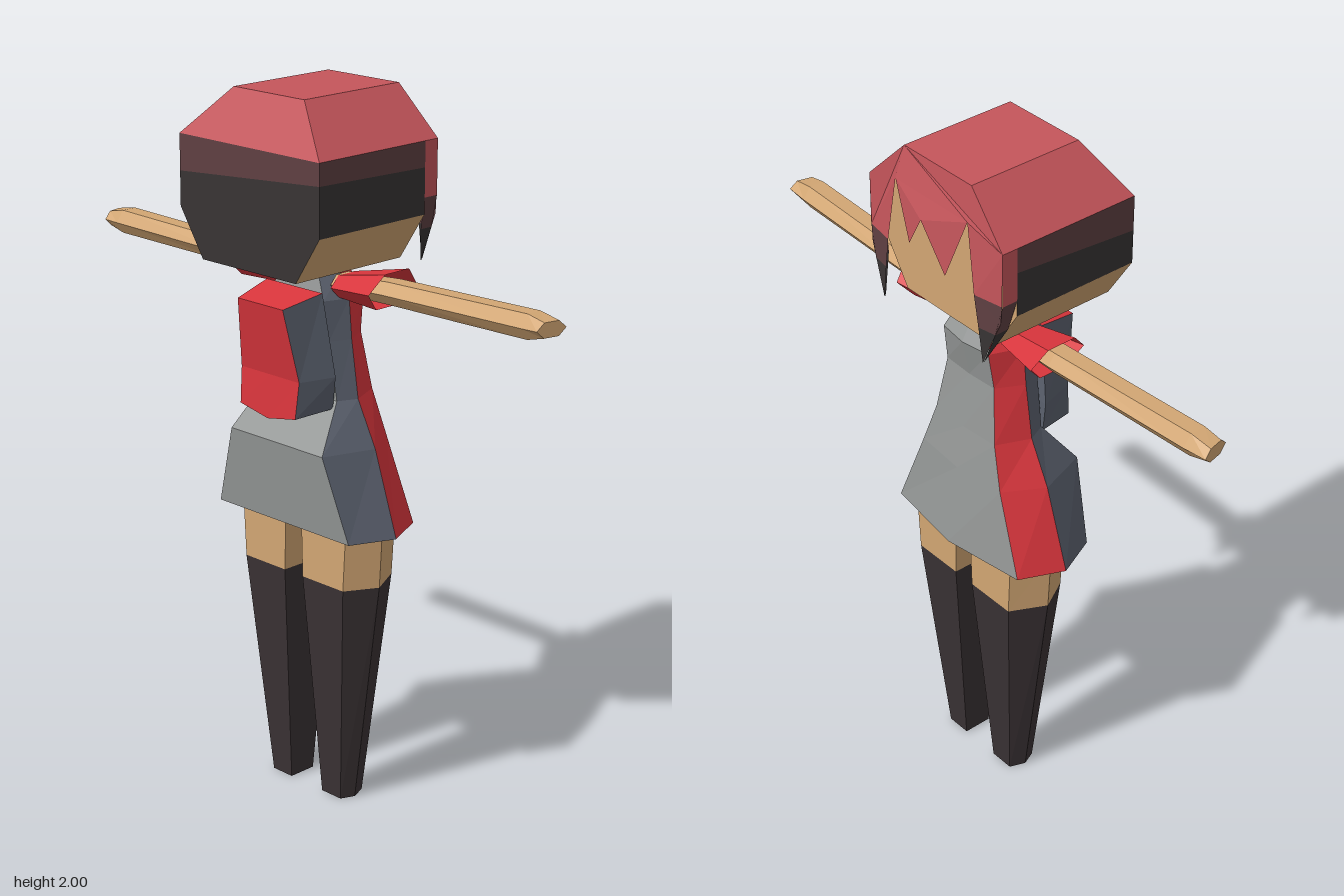
import * as THREE from 'three';

const mat = (name, color, side = THREE.FrontSide) => {
  const m = new THREE.MeshStandardMaterial({ color, side });
  m.name = name;
  return m;
};
const D = THREE.DoubleSide;
const M = {
  hairRed: mat('hair red', 0xc5555b, D),
  hairMid: mat('hair dark red', 0x5f4042, D),
  hairBlack: mat('hair black', 0x383434, D),
  skin: mat('skin', 0xd2a673),
  red: mat('cloth red', 0xd8353c, D),
  grey: mat('cloth grey', 0x949796),
  blue: mat('cloth slate', 0x5a606d),
  sock: mat('sock black', 0x3a3234),
};

// Faceted mesh from polygons: [[colour, [corner, corner, ...]], ...]
function facets(name, faces) {
  const keys = [...new Set(faces.map((f) => f[0]))];
  const pos = [];
  const geo = new THREE.BufferGeometry();
  keys.forEach((k, n) => {
    const start = pos.length / 3;
    for (const [c, p] of faces) {
      if (c !== k) continue;
      for (let i = 1; i < p.length - 1; i++) pos.push(...p[0], ...p[i], ...p[i + 1]);
    }
    geo.addGroup(start, pos.length / 3 - start, n);
  });
  geo.setAttribute('position', new THREE.Float32BufferAttribute(pos, 3));
  geo.computeVertexNormals();
  const mesh = new THREE.Mesh(geo, keys.map((k) => M[k]));
  mesh.name = name;
  return mesh;
}

// Skin a stack of rings; colour(i, j) picks the colour of band i, column j
function loft(name, rings, colour, first, last) {
  const faces = [];
  for (let i = 0; i < rings.length - 1; i++) {
    const a = rings[i], b = rings[i + 1];
    a.forEach((p, j) => {
      const k = (j + 1) % a.length;
      faces.push([colour(i, j), [p, a[k], b[k], b[j]]]);
    });
  }
  if (first) faces.push([first, [...rings[0]].reverse()]);
  if (last) faces.push([last, rings[rings.length - 1]]);
  return facets(name, faces);
}

const sided = (rings, s) =>
  s > 0 ? rings : rings.map((r) => r.map(([x, y, z]) => [-x, y, z]).reverse());

// Depth of the fringe sheet
function fringeZ(x, y) {
  const t = Math.max(0, Math.min(1, (2 - y) / 0.13));
  return -0.19 - t * (0.012 + 0.028 * (1 - (x / 0.26) ** 2));
}

function sheet(name, points, colour) {
  const shape = new THREE.Shape(points.map(([x, y]) => new THREE.Vector2(x, y)));
  const geo = new THREE.ShapeGeometry(shape).toNonIndexed();
  const p = geo.attributes.position;
  for (let i = 0; i < p.count; i++) p.setZ(i, fringeZ(p.getX(i), p.getY(i)));
  geo.computeVertexNormals();
  const mesh = new THREE.Mesh(geo, M[colour]);
  mesh.name = name;
  return mesh;
}

function head() {
  const g = new THREE.Group();
  g.name = 'head';
  const box = (x, yl, yr, yf, zb, zf) => [[-x, yl, zb], [x, yr, zb], [x, yf, zf], [-x, yf, zf]];
  const rings = [
    box(0.175, 1.545, 1.545, 1.545, 0.23, -0.155),
    box(0.26, 1.675, 1.675, 1.675, 0.23, -0.155),
    box(0.26, 1.77, 1.81, 1.8, 0.23, -0.155),
    box(0.26, 1.87, 1.87, 1.87, 0.23, -0.155),
    box(0.13, 2, 2, 2, 0.155, -0.155),
  ];
  const bands = ['skin', 'hairBlack', 'hairMid', 'hairRed'];
  g.add(loft('skull', rings,
    (i, j) => (j === 2 ? 'skin' : i === 0 && j === 0 ? 'hairBlack' : bands[i]), 'skin', 'hairRed'));

  // Jagged fringe
  g.add(sheet('fringe', [
    [-0.13, 2], [0, 2], [0.13, 2], [0.26, 1.87], [0.258, 1.72], [0.17, 1.72], [0.14, 1.91],
    [0.07, 1.76], [0.02, 1.85], [-0.07, 1.73], [-0.14, 1.91], [-0.17, 1.72], [-0.258, 1.72], [-0.26, 1.87],
  ], 'hairRed'));

  // Rim joining the fringe to the skull
  const rim = [[0.26, 1.72], [0.26, 1.87], [0.13, 2], [-0.13, 2], [-0.26, 1.87], [-0.26, 1.72]];
  const faces = [];
  for (let i = 0; i < rim.length - 1; i++) {
    const [a, b] = [rim[i], rim[i + 1]];
    faces.push(['hairRed', [[...a, -0.155], [...a, fringeZ(...a)], [...b, fringeZ(...b)], [...b, -0.155]]]);
  }
  g.add(facets('fringeRim', faces));

  // Side locks hanging beside the face
  for (const s of [1, -1]) {
    const f = (pts) => pts.map(([x, y]) => [s * x, y]);
    g.add(sheet('lockMiddle', f([[0.17, 1.72], [0.258, 1.72], [0.255, 1.67], [0.238, 1.63], [0.184, 1.63]]), 'hairMid'));
    g.add(sheet('lockTip', f([[0.184, 1.63], [0.238, 1.63], [0.198, 1.53]]), 'hairBlack'));
    const e = [[0.26, 1.72, -0.155], [0.26, 1.72, -0.202], [0.238, 1.63, -0.207], [0.238, 1.63, -0.165], [0.198, 1.53, -0.21]]
      .map(([x, y, z]) => [s * x, y, z]);
    const turn = (p) => (s > 0 ? p : p.reverse());
    g.add(facets('lockSide', [
      ['hairMid', turn([e[0], e[3], e[2], e[1]])],
      ['hairBlack', turn([e[3], e[4], e[2]])],
    ]));
  }
  return g;
}

function dress() {
  const ring = (y, xb, zb, xm, xf, zf, zc) => [
    [-xb, y, zb], [xb, y, zb], [xm, y, -0.015], [xf, y, zf], [0, y, zc], [-xf, y, zf], [-xm, y, -0.015],
  ];
  const cols = ['grey', 'blue', 'red', 'grey', 'grey', 'red', 'blue'];
  return loft('dress', [
    ring(0.82, 0.25, 0.11, 0.305, 0.25, -0.14, -0.175),
    ring(1.055, 0.175, 0.135, 0.225, 0.16, -0.125, -0.14),
    ring(1.18, 0.135, 0.04, 0.16, 0.12, -0.11, -0.117),
    ring(1.34, 0.11, 0.045, 0.135, 0.095, -0.09, -0.095),
    ring(1.45, 0.1, 0.055, 0.125, 0.09, -0.105, -0.118),
    ring(1.515, 0.065, 0.04, 0.09, 0.07, -0.07, -0.08),
  ], (i, j) => cols[j], 'blue', 'grey');
}

function backpack() {
  // Each row: outer y, x, z, then inner y, x, z, then the y of the outer middle
  const rows = [
    [1.15, 0.105, 0.165, 1.16, 0.13, 0.05, 1.13],
    [1.25, 0.11, 0.155, 1.25, 0.14, 0.05, 1.25],
    [1.45, 0.085, 0.19, 1.475, 0.105, 0.065, 1.45],
  ];
  const rings = rows.map(([y, x, z, v, u, w, m]) =>
    [[-x, y, z], [0, m, z], [x, y, z], [u, v, w], [-u, v, w]]);
  return loft('backpack', rings, (i, j) => (j < 2 ? 'red' : 'blue'), 'red', 'red');
}

// Six-sided ring across the arm; lean shifts x with depth, tilt with height
function armRing(x, y, z, hy, hz, lean = 0, tilt = 0) {
  return Array.from({ length: 6 }, (_, i) => {
    const c = Math.cos((i * Math.PI) / 3), s = Math.sin((i * Math.PI) / 3) / 0.866;
    return [x + lean * c + tilt * s, y + hy * s, z - hz * c];
  });
}

// Five-sided ring across the leg
const legRing = (y, inner, mid, outer, zb, zf) =>
  [[inner, y, zb], [mid, y, zb], [outer, y, -0.02], [mid, y, zf], [inner, y, zf]];

export function createModel() {
  const g = new THREE.Group();
  g.name = 'figure';
  g.add(head(), dress(), backpack());

  const neck = new THREE.Mesh(new THREE.BoxGeometry(0.13, 0.06, 0.09), M.grey);
  neck.name = 'neck';
  neck.position.set(0, 1.53, -0.015);
  g.add(neck);

  for (const s of [1, -1]) {
    const side = s > 0 ? 'left' : 'right';
    g.add(loft(side + 'Arm', sided([
      armRing(0.1, 1.49, -0.015, 0.025, 0.045),
      armRing(0.28, 1.497, -0.022, 0.03, 0.047),
      armRing(0.76, 1.508, -0.013, 0.033, 0.046),
      armRing(0.82, 1.51, -0.01, 0.02, 0.044, 0.01),
    ], s), () => 'skin', 'skin', 'skin'));

    g.add(loft(side + 'Sleeve', sided([
      armRing(0.11, 1.485, -0.02, 0.03, 0.06),
      armRing(0.27, 1.5, -0.028, 0.05, 0.09, 0, 0.015),
    ], s), () => 'red'));

    // Bare thigh and stocking
    const knee = legRing(0.66, 0.035, 0.19, 0.24, 0.07, -0.12);
    g.add(loft(side + 'Thigh', sided([knee, legRing(0.84, 0.03, 0.2, 0.25, 0.07, -0.122)], s),
      () => 'skin', null, 'skin'));
    g.add(loft(side + 'Stocking', sided([legRing(0, 0.062, 0.135, 0.152, 0.02, -0.065), knee], s),
      () => 'sock', 'sock'));
  }
  return g;
}
